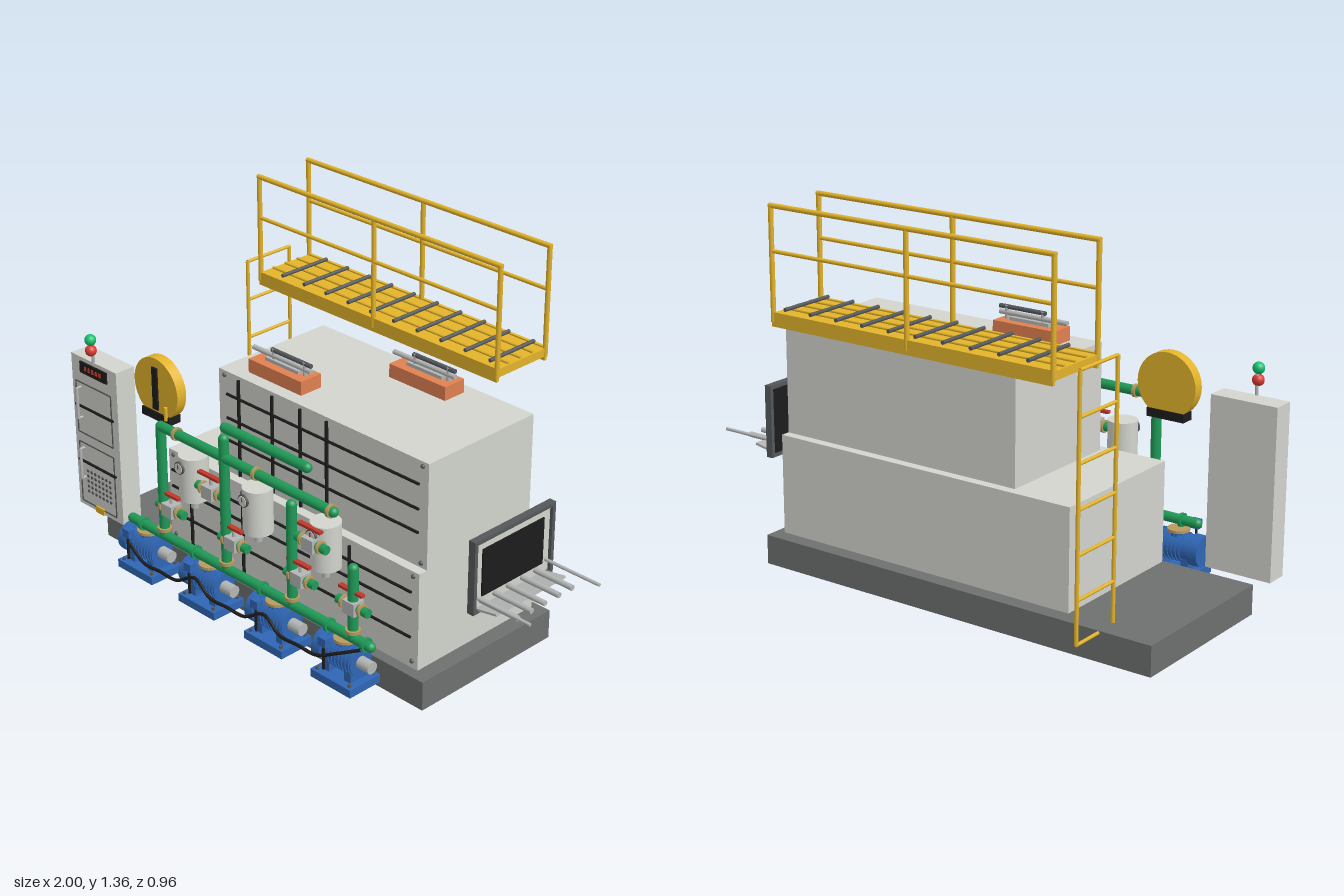
import * as THREE from 'three';

const mat = (color) => new THREE.MeshStandardMaterial({ color });
const M = {
  body: mat(0xd2d4cd), base: mat(0x6d706e), yellow: mat(0xe3b32a), black: mat(0x1c1c1c), blue: mat(0x2f66b5),
  green: mat(0x1f9a57), orange: mat(0xe08050), grey: mat(0xb4b6b6), dark: mat(0x55585a), red: mat(0xc0392b),
  lampGreen: mat(0x16c070), lampRed: mat(0xd83a30), tan: mat(0xb89a60),
};

export function createModel() {
  const root = new THREE.Group();
  const group = (name, x = 0, y = 0, z = 0) => {
    const g = new THREE.Group();
    g.name = name;
    g.position.set(x, y, z);
    root.add(g);
    return g;
  };
  const add = (g, name, geo, m, x = 0, y = 0, z = 0) => {
    const mesh = new THREE.Mesh(geo, m);
    mesh.name = name;
    mesh.position.set(x, y, z);
    g.add(mesh);
    return mesh;
  };
  // box given by its extents
  const box = (g, name, m, x0, x1, y0, y1, z0, z1) =>
    add(g, name, new THREE.BoxGeometry(x1 - x0, y1 - y0, z1 - z0), m, (x0 + x1) / 2, (y0 + y1) / 2, (z0 + z1) / 2);
  // round bar between two points
  const rod = (g, name, m, a, b, r, seg = 12) => {
    const p = new THREE.Vector3(...a), q = new THREE.Vector3(...b), d = q.clone().sub(p);
    const mesh = add(g, name, new THREE.CylinderGeometry(r, r, d.length(), seg), m);
    mesh.position.copy(p).add(q).multiplyScalar(0.5);
    mesh.quaternion.setFromUnitVectors(new THREE.Vector3(0, 1, 0), d.normalize());
    return mesh;
  };
  const ball = (g, name, m, x, y, z, r) => add(g, name, new THREE.SphereGeometry(r, 16, 12), m, x, y, z);

  // plinth and two-tier housing
  const housing = group('housing');
  box(housing, 'plinth', M.base, -0.925, 0.685, 0, 0.108, -0.327, 0.303);
  box(housing, 'lowerTank', M.body, -0.585, 0.635, 0.118, 0.482, -0.29, 0.275);
  box(housing, 'upperHousing', M.body, -0.345, 0.635, 0.46, 0.866, -0.255, 0.24);

  // black ribs and bolts on the front panels
  const ribs = group('panelRibs');
  for (const x of [-0.24, -0.075, 0.06, 0.185]) rod(ribs, 'upperRib', M.black, [x, 0.49, 0.247], [x, 0.855, 0.247], 0.006, 8);
  for (const y of [0.61, 0.695, 0.785]) rod(ribs, 'upperCrossRib', M.black, [-0.3, y, 0.247], [0.6, y, 0.247], 0.005, 8);
  for (const x of [-0.46, -0.19, 0.06, 0.33]) rod(ribs, 'lowerRib', M.black, [x, 0.14, 0.285], [x, 0.465, 0.285], 0.006, 8);
  for (const y of [0.24, 0.345, 0.41]) rod(ribs, 'lowerCrossRib', M.black, [-0.56, y, 0.285], [0.61, y, 0.285], 0.005, 8);
  for (const x of [-0.315, 0.61]) for (const y of [0.5, 0.85]) ball(ribs, 'bolt', M.dark, x, y, 0.241, 0.008);
  for (const x of [-0.56, 0.61]) for (const y of [0.145, 0.465]) ball(ribs, 'bolt', M.dark, x, y, 0.276, 0.008);

  // roof hatches with bar handles
  for (const [x, z] of [[-0.12, 0.145], [0.24, -0.165]]) {
    const h = group('roofHatch', x, 0.866, z);
    box(h, 'hatchCover', M.orange, -0.128, 0.128, 0, 0.05, -0.046, 0.046);
    box(h, 'hatchFoot', M.grey, -0.08, 0.08, 0.05, 0.062, -0.014, 0.014);
    rod(h, 'hatchBar', M.grey, [-0.15, 0.072, 0], [0.13, 0.072, 0], 0.009);
    rod(h, 'hatchHandle', M.dark, [-0.06, 0.092, 0], [0.13, 0.092, 0], 0.008);
    for (const p of [-0.05, 0.1]) rod(h, 'handlePost', M.grey, [p, 0.05, 0], [p, 0.098, 0], 0.008);
  }

  // walkway with grating and side railings
  const walk = group('walkway');
  box(walk, 'deck', M.yellow, -0.645, 0.495, 0.955, 0.985, -0.475, -0.228);
  for (const z of [-0.472, -0.232]) {
    box(walk, 'deckBeam', M.yellow, -0.645, 0.495, 0.94, 0.99, z - 0.006, z + 0.006);
    for (const x of [-0.642, -0.075, 0.492]) rod(walk, 'railPost', M.yellow, [x, 0.955, z], [x, 1.352, z], 0.009);
    for (const [y, r] of [[1.35, 0.009], [1.197, 0.007]]) rod(walk, 'handRail', M.yellow, [-0.648, y, z], [0.498, y, z], r);
  }
  for (let i = 0; i < 10; i++) {
    const x = -0.54 + i * 0.11;
    rod(walk, 'gratingBar', M.dark, [x, 1.0, -0.462], [x, 1.0, -0.242], 0.007, 8);
  }
  for (const z of [-0.41, -0.35, -0.29]) rod(walk, 'gratingRunner', M.yellow, [-0.64, 0.989, z], [0.49, 0.989, z], 0.005, 8);

  // ladder beside the walkway
  const ladder = group('ladder', -0.725);
  for (const z of [-0.45, -0.243]) rod(ladder, 'stile', M.yellow, [0, 0.1, z], [0, 1.0, z], 0.007);
  for (let i = 0; i < 7; i++) rod(ladder, 'rung', M.yellow, [0, 0.1 + i * 0.15, -0.45], [0, 0.1 + i * 0.15, -0.243], 0.006);

  // control cabinet with two doors, vents and signal lamps
  const cab = group('controlCabinet');
  box(cab, 'cabinetBody', M.body, -1.0, -0.75, 0.137, 0.747, 0.283, 0.366);
  box(cab, 'display', M.black, -0.948, -0.8, 0.688, 0.732, 0.364, 0.372);
  for (let i = 0; i < 5; i++) box(cab, 'displayDigit', M.lampRed, -0.92 + i * 0.02, -0.91 + i * 0.02, 0.703, 0.719, 0.37, 0.374);
  for (const [y0, y1] of [[0.44, 0.645], [0.155, 0.4]]) {
    for (const y of [y0, y1]) box(cab, 'doorSeam', M.dark, -0.98, -0.785, y - 0.002, y + 0.002, 0.365, 0.369);
    for (const x of [-0.98, -0.785]) box(cab, 'doorSeam', M.dark, x - 0.002, x + 0.002, y0, y1, 0.365, 0.369);
    rod(cab, 'doorHandle', M.grey, [-0.955, y1 - 0.14, 0.385], [-0.955, y1 - 0.02, 0.385], 0.006, 8);
    for (const y of [y1 - 0.14, y1 - 0.02]) rod(cab, 'handleMount', M.grey, [-0.955, y, 0.36], [-0.955, y, 0.388], 0.005, 8);
  }
  for (const y of [0.55, 0.325]) rod(cab, 'doorBar', M.black, [-0.985, y, 0.37], [-0.775, y, 0.37], 0.005, 8);
  for (let i = 0; i < 7; i++) for (let j = 0; j < 5; j++)
    rod(cab, 'ventHole', M.dark, [-0.94 + i * 0.021, 0.205 + j * 0.021, 0.363], [-0.94 + i * 0.021, 0.205 + j * 0.021, 0.369], 0.006, 8);
  box(cab, 'warningPlate', M.yellow, -0.9, -0.855, 0.135, 0.16, 0.362, 0.372);
  rod(cab, 'lampStem', M.grey, [-0.875, 0.745, 0.365], [-0.875, 0.82, 0.365], 0.006, 8);
  ball(cab, 'redLamp', M.lampRed, -0.875, 0.797, 0.373, 0.021);
  ball(cab, 'greenLamp', M.lampGreen, -0.875, 0.838, 0.373, 0.021);

  // large dial with pointer
  const dial = group('dial', -0.57, 0.742, 0);
  rod(dial, 'dialDisc', M.yellow, [0, 0, 0.295], [0, 0, 0.335], 0.114, 40);
  box(dial, 'pointer', M.black, -0.013, 0.013, -0.08, 0.08, 0.333, 0.342);
  box(dial, 'dialBracket', M.black, -0.073, 0.073, -0.12, -0.09, 0.29, 0.342);
  rod(dial, 'dialStem', M.yellow, [0.06, -0.1, 0.345], [0.06, -0.05, 0.345], 0.007, 8);

  // green pipework
  const pipes = group('pipework');
  const Z = 0.407;
  const pipe = (a, b, r = 0.018) => {
    rod(pipes, 'pipe', M.green, [...a, Z], [...b, Z], r, 18);
    for (const p of [a, b]) ball(pipes, 'pipeElbow', M.green, ...p, Z, r);
  };
  pipe([-0.64, 0.23], [0.55, 0.23]);
  pipe([-0.465, 0.66], [0.38, 0.66]);
  pipe([-0.13, 0.775], [0.26, 0.775]);
  for (const [x, y] of [[-0.465, 0.66], [-0.14, 0.73], [0.185, 0.61], [0.47, 0.49]]) {
    pipe([x, 0.23], [x, y]);
    rod(pipes, 'flange', M.tan, [x, 0.252, Z], [x, 0.264, Z], 0.026, 18);
  }
  for (const x of [-0.58, -0.3, 0.04, 0.36, 0.53]) rod(pipes, 'flange', M.green, [x - 0.006, 0.23, Z], [x + 0.006, 0.23, Z], 0.025, 18);
  for (const x of [-0.38, 0.02, 0.37]) rod(pipes, 'flange', M.tan, [x - 0.006, 0.66, Z], [x + 0.006, 0.66, Z], 0.024, 18);

  // valves with red levers
  for (const [x, y] of [[-0.425, 0.35], [-0.1, 0.35], [0.225, 0.35], [0.47, 0.35], [-0.21, 0.505], [0.28, 0.505]]) {
    const v = group('valve', x, y, Z);
    box(v, 'valveBody', M.grey, -0.026, 0.026, -0.024, 0.024, -0.024, 0.024);
    rod(v, 'valvePort', M.green, [-0.07, 0, 0], [0.07, 0, 0], 0.016, 16);
    for (const s of [-1, 1]) rod(v, 'valveFlange', M.tan, [s * 0.036, 0, 0], [s * 0.046, 0, 0], 0.023, 16);
    rod(v, 'valveStem', M.grey, [0, 0, 0], [0, 0.055, 0], 0.006, 8);
    box(v, 'valveLever', M.red, -0.06, 0.045, 0.05, 0.06, -0.009, 0.009);
  }

  // filter canisters with gauges
  for (const x of [-0.365, -0.04, 0.287]) {
    const c = group('filterCanister', x, 0, 0.35);
    rod(c, 'canister', M.body, [0, 0.4, 0], [0, 0.568, 0], 0.053, 28);
    rod(c, 'canisterOutlet', M.grey, [0, 0.36, 0], [0, 0.4, 0], 0.014);
    rod(c, 'gaugeRim', M.dark, [-0.01, 0.53, 0.045], [-0.01, 0.53, 0.06], 0.023, 20);
    rod(c, 'gaugeFace', M.body, [-0.01, 0.53, 0.05], [-0.01, 0.53, 0.062], 0.019, 20);
    box(c, 'gaugeNeedle', M.red, -0.012, -0.008, 0.528, 0.545, 0.06, 0.064);
  }

  // row of motor pumps
  for (const x of [-0.575, -0.245, 0.095, 0.42]) {
    const p = group('pump', x, 0, 0.393);
    box(p, 'pumpBase', M.blue, -0.093, 0.093, 0.04, 0.07, -0.07, 0.07);
    for (const s of [-1, 1]) {
      box(p, 'pumpFoot', M.blue, s * 0.05 - 0.015, s * 0.05 + 0.015, 0.065, 0.11, -0.04, 0.04);
      for (const z of [-0.055, 0.055]) rod(p, 'baseBolt', M.dark, [s * 0.075, 0.07, z], [s * 0.075, 0.08, z], 0.006, 8);
    }
    rod(p, 'motor', M.blue, [-0.065, 0.14, 0], [0.072, 0.14, 0], 0.049, 24);
    for (let i = 0; i < 7; i++) rod(p, 'coolingFin', M.blue, [-0.035 + i * 0.016, 0.14, 0], [-0.029 + i * 0.016, 0.14, 0], 0.054, 24);
    rod(p, 'pumpHead', M.blue, [-0.105, 0.14, 0], [-0.065, 0.14, 0], 0.056, 24);
    rod(p, 'shaftCap', M.grey, [0.07, 0.14, 0], [0.125, 0.14, 0], 0.022, 18);
    rod(p, 'pumpRiser', M.blue, [0, 0.17, 0], [0, 0.2, 0], 0.03, 18);
    rod(p, 'riserFlange', M.tan, [0, 0.195, 0], [0, 0.205, 0], 0.04, 18);
    box(p, 'terminalBox', M.blue, -0.045, -0.01, 0.19, 0.222, 0.055, 0.082);
    rod(p, 'terminalPost', M.black, [-0.028, 0.1, 0.072], [-0.028, 0.2, 0.072], 0.005, 8);
  }

  // sagging power cable along the pumps
  const run = [];
  for (let i = 0; i <= 12; i++) run.push(new THREE.Vector3(-0.6 + i * 0.0875, (i % 4 === 0 ? 0.16 : 0.12) + 0.002 * i, i % 4 === 0 ? 0.46 : 0.47));
  run.push(new THREE.Vector3(0.53, 0.22, 0.43));
  add(group('powerCable'), 'cable', new THREE.TubeGeometry(new THREE.CatmullRomCurve3(run), 80, 0.006, 8), M.black);

  // end window with frame, shelf and protruding rods
  const win = group('endWindow');
  box(win, 'windowBack', M.black, 0.757, 0.766, 0.355, 0.61, -0.205, 0.17);
  box(win, 'windowPlate', M.body, 0.766, 0.77, 0.36, 0.605, -0.2, 0.165);
  box(win, 'windowGlass', M.black, 0.768, 0.776, 0.4, 0.572, -0.165, 0.13);
  for (const y of [0.356, 0.61]) box(win, 'windowFrame', M.dark, 0.755, 0.782, y - 0.007, y + 0.007, -0.212, 0.177);
  for (const z of [-0.205, 0.17]) box(win, 'windowFrame', M.dark, 0.755, 0.782, 0.35, 0.616, z - 0.007, z + 0.007);
  const shelf = box(win, 'shelf', M.grey, 0.77, 0.86, 0.364, 0.372, -0.185, 0.155);
  shelf.rotation.z = 0.18;
  for (const z of [-0.135, -0.07, 0, 0.065, 0.13]) rod(win, 'shelfRod', M.grey, [0.77, 0.385, z], [0.93, 0.385, z], 0.01);
  for (const z of [-0.185, 0.155]) rod(win, 'longRod', M.grey, [0.77, 0.405, z], [1.0, 0.405, z], 0.006);

  return root;
}
